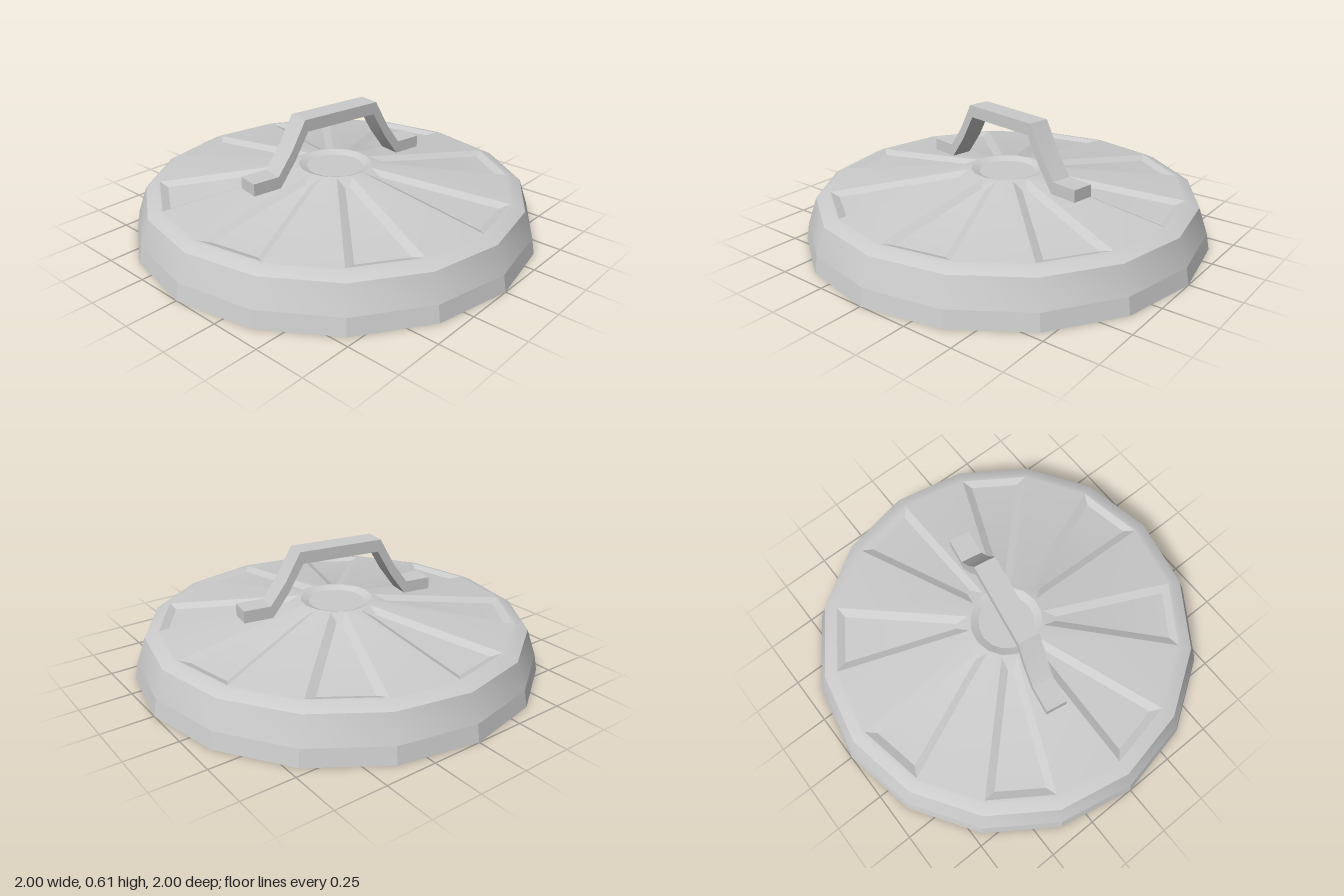
import * as THREE from 'three';
import { toCreasedNormals } from 'three/addons/utils/BufferGeometryUtils.js';

const SIDES = 16;
const STEP = (Math.PI * 2) / SIDES;
const material = new THREE.MeshStandardMaterial({ color: 0xcccccc });

function part(name, geometry, crease) {
  const mesh = new THREE.Mesh(toCreasedNormals(geometry, crease), material);
  mesh.name = name;
  return mesh;
}

function lathe(profile) {
  return new THREE.LatheGeometry(profile.map(([r, y]) => new THREE.Vector2(r, y)), SIDES);
}

// Height of the top at radius r: a shallow cone with a steeper lip outside 0.89
const topY = (r) => (r > 0.89 ? 0.21 + (0.94 - r) * 0.52 : 0.325 - (r - 0.18) * 0.1257);

// Cone top: plain ribs alternating with sunken wedge panels
function buildTop() {
  const pos = [];
  const p = (r, t, drop = 0) => [r * Math.cos(t), topY(r) - drop, -r * Math.sin(t)];
  const quad = (a, b, c, d) => pos.push(...a, ...b, ...c, ...a, ...c, ...d);
  const patch = (r0, r1, t0, t1) => quad(p(r0, t0), p(r1, t0), p(r1, t1), p(r0, t1));
  const rIn = 0.19, rOut = 0.87, depth = 0.019;

  for (let i = 0; i < SIDES; i++) {
    const t0 = i * STEP, t1 = t0 + STEP;
    patch(0.18, rIn, t0, t1);
    patch(rOut, 0.89, t0, t1);
    patch(0.89, 0.94, t0, t1);
    if (i % 2) {
      patch(rIn, rOut, t0, t1);
      continue;
    }
    // Sunken panel: four sloping walls around a lower floor
    const edge = [p(rIn, t0), p(rOut, t0), p(rOut, t1), p(rIn, t1)];
    const floor = [
      p(0.25, t0 + 0.15, depth), p(0.825, t0 + 0.048, depth),
      p(0.825, t1 - 0.048, depth), p(0.25, t1 - 0.15, depth),
    ];
    quad(...floor);
    for (let k = 0; k < 4; k++) {
      const n = (k + 1) % 4;
      quad(edge[k], edge[n], floor[n], floor[k]);
    }
  }
  const geometry = new THREE.BufferGeometry();
  geometry.setAttribute('position', new THREE.Float32BufferAttribute(pos, 3));
  return geometry;
}

// Bent strap handle with flat feet and slightly flared legs
function buildHandle() {
  const right = [
    [0.215, 0.61], [0.29, 0.475], [0.37, 0.365], [0.505, 0.365],
    [0.505, 0.305], [0.36, 0.305], [0.275, 0.42], [0.2, 0.55],
  ];
  const left = right.map(([x, y]) => [-x, y]).reverse();
  const shape = new THREE.Shape([...right, ...left].map(([x, y]) => new THREE.Vector2(x, y)));
  const geometry = new THREE.ExtrudeGeometry(shape, { depth: 0.11, bevelEnabled: false });
  return geometry.translate(0, 0, -0.055);
}

export function createModel() {
  const group = new THREE.Group();
  group.name = 'lid';

  // Domed underside
  group.add(part('underside', lathe([[0, 0.19], [0.92, 0.12]]), 0.5));
  // Inner wall, bottom edge and lower band of the rim
  group.add(part('lowerRim', lathe([[0.92, 0.12], [0.93, 0], [1, 0], [0.985, 0.08]]), 0.1));
  // Tapered upper rim
  group.add(part('upperRim', lathe([[0.985, 0.08], [0.94, 0.21]]), 0.5));
  group.add(part('panelledTop', buildTop(), 0.38));
  // Shallow dish in the middle
  group.add(part('centreDish', lathe([[0.18, 0.325], [0.14, 0.309], [0, 0.309]]), 0.35));

  const handle = part('handle', buildHandle(), 0.3);
  handle.rotation.y = -0.175;
  group.add(handle);
  return group;
}
